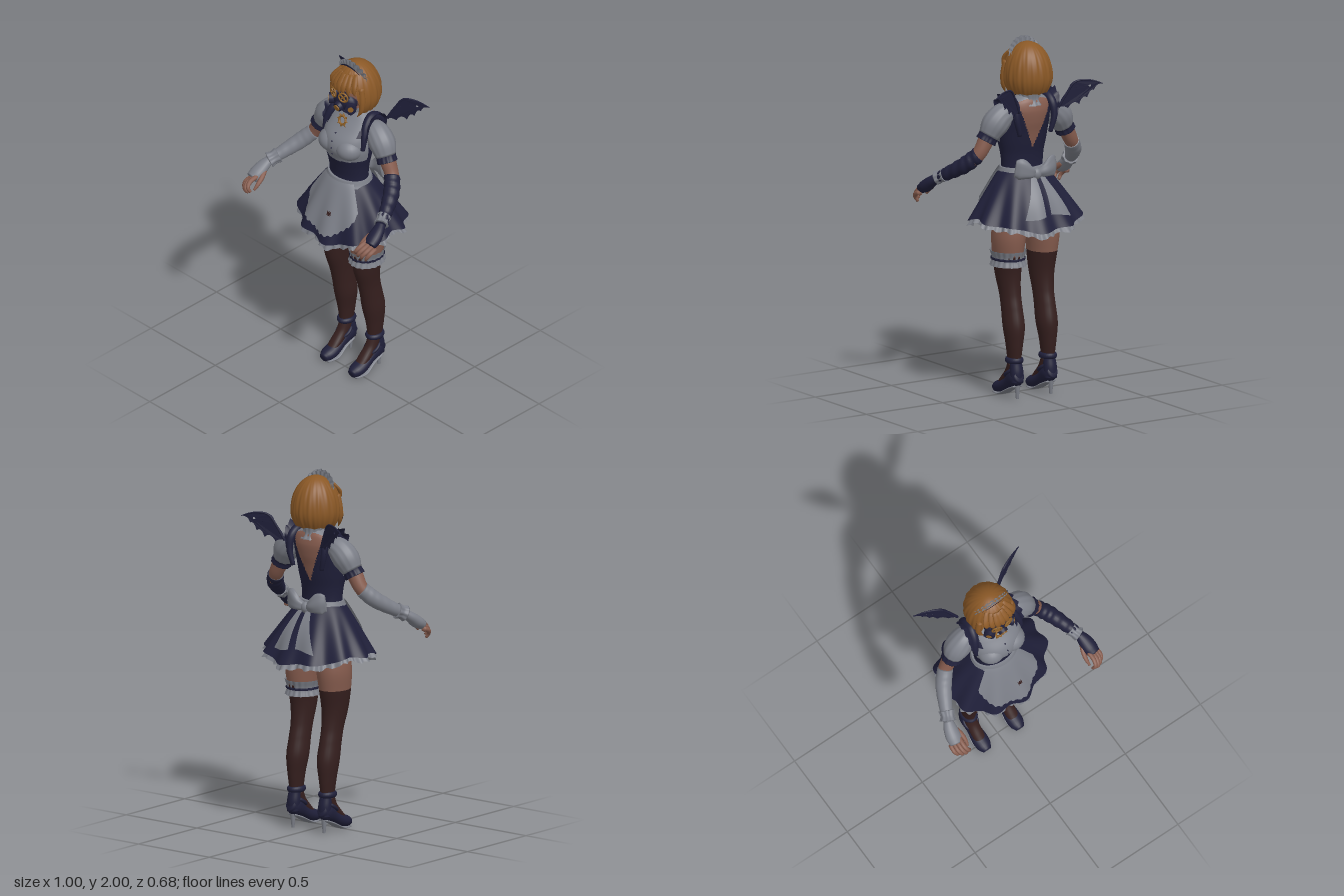
import * as THREE from 'three';
import { mergeVertices } from 'three/addons/utils/BufferGeometryUtils.js';

const { sin, cos, PI, abs, sqrt, max, min } = Math;
const V = (a) => new THREE.Vector3(a[0], a[1], a[2]);

function material(name, color) {
  const m = new THREE.MeshStandardMaterial({ color, side: THREE.DoubleSide });
  m.name = name;
  return m;
}
const navy = material('navy cloth', 0x1f1f39);
const white = material('pale grey cloth', 0x7b7e87);
const skin = material('skin', 0x865c4e);
const stocking = material('dark brown stocking', 0x351f1e);
const hairMat = material('amber hair', 0x8a5826);
const gold = material('gold metal', 0x8f6128);

// surface from a rule f(u, v); pick(point) returns a material slot per cell
function grid(nu, nv, f, pick) {
  const pos = [], index = [];
  for (let j = 0; j <= nv; j++) for (let i = 0; i <= nu; i++) pos.push(...f(i / nu, j / nv));
  let geo = new THREE.BufferGeometry();
  const slots = [[], [], []];
  for (let j = 0; j < nv; j++) for (let i = 0; i < nu; i++) {
    const a = j * (nu + 1) + i, b = a + 1, c = b + nu + 1, d = c - 1;
    const mid = [0, 1, 2].map((k) => (pos[a * 3 + k] + pos[c * 3 + k]) / 2);
    slots[pick ? pick(mid) : 0].push(a, b, c, a, c, d);
  }
  slots.forEach((s, k) => {
    if (pick && s.length) geo.addGroup(index.length, s.length, k);
    for (const n of s) index.push(n);
  });
  geo.setAttribute('position', new THREE.Float32BufferAttribute(pos, 3));
  geo.setIndex(index);
  geo = mergeVertices(geo, 1e-5);
  geo.computeVertexNormals();
  return geo;
}

// tube through [x, y, z, width, depth] points; flat keeps its rings level
function sweep(points, { flat = false, ref = [1, 0, 0], wave = [0, 0], folds = 0, nu = 24, nv = 20, open = false, pick } = {}) {
  const path = new THREE.CatmullRomCurve3(points.map(V));
  const size = new THREE.CatmullRomCurve3(points.map((p) => new THREE.Vector3(p[3], p[4] ?? p[3], 0)), false, 'catmullrom');
  return grid(nu, nv, (u, v) => {
    const t = open ? v : min(1, max(0, (v * nv - 1) / (nv - 2)));
    const p = path.getPoint(t), r = size.getPoint(t);
    const T = flat ? new THREE.Vector3(0, points[1][1] > points[0][1] ? 1 : -1, 0) : path.getTangent(t);
    const N = V(ref).addScaledVector(T, -T.dot(V(ref))).normalize();
    const B = T.clone().cross(N);
    const a = u * 2 * PI;
    let k = 1 + wave[1] * sin(wave[0] * a) + folds * sin(t * 38 + sin(a) * 2);
    if (!open && (v === 0 || v === 1)) k = 0;
    return p.addScaledVector(N, cos(a) * r.x * k).addScaledVector(B, sin(a) * r.y * k).toArray();
  }, pick);
}

// skirt surface: angle from the front, t from waist to hem
function skirtPoint(a, t, off = 0, frill = 0) {
  const w = Math.pow(t, 0.9), k = 1 + 0.05 * t * sin(11 * a) + frill * sin(40 * a);
  const y = 1.27 - t * (0.265 + 0.06 * cos(a) ** 2 + 0.01 * cos(a) + 0.008 * sin(7 * a));
  return [sin(a) * ((0.125 + 0.195 * w) * k + off), y + frill * 0.25 * sin(23 * a),
    -0.035 - 0.025 * t + cos(a) * ((0.1 + 0.165 * w) * k + off)];
}

export function createModel() {
  const model = new THREE.Group();
  const add = (name, geo, mat, pos, rot, scale) => {
    const m = new THREE.Mesh(geo, mat);
    m.name = name;
    if (pos) m.position.set(...pos);
    if (rot) m.rotation.set(...rot);
    if (scale) m.scale.set(...scale);
    model.add(m);
    return m;
  };
  const ball = new THREE.SphereGeometry(1, 24, 16);

  // torso: dark bodice, pale bib, open back
  add('bodice', sweep([[0, 1.2, -0.03, 0.13, 0.1], [0, 1.28, -0.032, 0.123, 0.088], [0, 1.35, -0.03, 0.128, 0.095],
    [0, 1.42, -0.028, 0.142, 0.112], [0, 1.48, -0.025, 0.152, 0.128], [0, 1.54, -0.04, 0.152, 0.128],
    [0, 1.6, -0.072, 0.146, 0.103], [0, 1.65, -0.092, 0.118, 0.073], [0, 1.69, -0.095, 0.05, 0.05]],
  { flat: true, nu: 128, nv: 90, pick: ([x, y, z]) => {
    const bib = y > 1.57 ? 0.11 : 0.17;
    if (z > -0.03 - max(0, y - 1.55) && y > 1.405 + 0.12 * abs(x) && abs(x) < bib) return 1;
    return z < -0.08 && abs(x) < (y - 1.39) * 0.42 ? 2 : 0;
  } }), [navy, white, skin]);
  for (const s of [-1, 1]) add('bust', ball, white, [s * 0.066, 1.486, 0.03], [0, s * 0.2, 0], [0.078, 0.066, 0.078]);
  for (let i = 0; i < 4; i++) add('button', ball, navy, [0, 1.45 + i * 0.042, [0.096, 0.104, 0.1, 0.072][i]], null, [0.004, 0.004, 0.005]);
  add('hips', sweep([[0, 0.93, -0.07, 0.07, 0.08], [0, 1.0, -0.065, 0.165, 0.12], [0, 1.1, -0.05, 0.155, 0.115], [0, 1.22, -0.035, 0.12, 0.09]], { flat: true }), skin);
  add('neck', sweep([[0, 1.62, -0.1, 0.05], [0, 1.76, -0.08, 0.045]], { flat: true }), skin);
  add('collar', sweep([[0, 1.63, -0.095, 0.078, 0.084], [0, 1.66, -0.095, 0.062, 0.068], [0, 1.705, -0.095, 0.066, 0.072]],
    { flat: true, open: true, nu: 96, wave: [14, 0.03] }), white);

  // brooch and neck bow
  add('brooch ring', new THREE.TorusGeometry(0.024, 0.006, 8, 24), gold, [0, 1.635, 0.02], [-0.3, 0, 0]);
  for (let i = 0; i < 8; i++) {
    const a = i * PI / 4;
    add('brooch ray', new THREE.ConeGeometry(0.008, 0.018, 6), gold, [cos(a) * 0.034, 1.635 + sin(a) * 0.034, 0.02 - sin(a) * 0.01], [0, 0, a - PI / 2]);
  }
  for (const s of [-1, 1]) add('neck bow', ball, navy, [s * 0.022, 1.672, -0.018], [0, 0, s * 0.3], [0.022, 0.011, 0.01]);

  // skirt, petticoat, apron
  add('skirt', grid(176, 20, (u, v) => skirtPoint(u * 2 * PI, v)), navy);
  add('petticoat', grid(320, 14, (u, v) => skirtPoint(u * 2 * PI, 0.35 + 0.74 * v, -0.016, 0.022 * v * v)), white);
  add('apron', grid(80, 24, (u, v) => {
    const s = u * 2 - 1;
    return skirtPoint(s * 0.88, v * (0.86 * sqrt(1 - 0.72 * s * s) + 0.015 * sin(s * 45)), 0.014);
  }), white);
  add('apron patch', grid(12, 4, (u, v) => skirtPoint(0.1 + 0.1 * u, 0.49 + (v - 0.5) * 0.06 * (0.4 + abs(cos(u * 2 * PI))), 0.02)), stocking);
  add('waistband', sweep([[0, 1.235, -0.035, 0.15, 0.122], [0, 1.255, -0.035, 0.14, 0.112], [0, 1.278, -0.035, 0.132, 0.103]], { flat: true, nu: 48 }), white);

  // back bow
  add('bow knot', ball, white, [0, 1.25, -0.175], null, [0.028, 0.032, 0.025]);
  for (const s of [-1, 1]) {
    add('bow loop', sweep([[s * 0.01, 1.25, -0.17, 0.02, 0.015], [s * 0.05, 1.265, -0.185, 0.036, 0.022],
      [s * 0.1, 1.285, -0.175, 0.058, 0.02], [s * 0.13, 1.29, -0.16, 0.045, 0.01]], { ref: [0, 1, 0], wave: [5, 0.06] }), white);
    add('bow tail', grid(20, 24, (u, v) => {
      const t = v * (0.74 + 0.08 * u);
      return skirtPoint(PI + s * (0.07 + u * (0.14 + 0.28 * v)), t, 0.018 + 0.02 * sin(v * PI));
    }), white);
  }

  // head and bob haircut
  add('head', ball, skin, [0, 1.815, -0.075], null, [0.098, 0.115, 0.1]);
  add('hair', grid(160, 36, (u, v) => {
    const a = (u * 2 - 1) * PI, side = THREE.MathUtils.smoothstep(abs(a), 0.7, 1.15);
    const hem = 1.845 - 0.15 * side + 0.014 * abs(sin(a * 5)) * (1 - 0.5 * side);
    const y = 1.975 - (1.975 - hem) * (1 - cos(v * PI / 2));
    const q = (1.975 - y) / 0.19, d = max(0, (1.785 - y) / 0.1);
    const r = (q < 1 ? sqrt(1 - (1 - q) ** 2) : 1 - 0.28 * d * d) * (1 + 0.02 * v * sin(a * 17 + 5 * v) + 0.012 * v * sin(a * 31 - 3 * v));
    return [sin(a) * r * 0.135, y, -0.087 + cos(a) * r * 0.141];
  }), hairMat);
  for (let i = -3; i <= 3; i++) {
    const x = i * 0.027, z = 0.05 - x * x * 5;
    add('fringe lock', sweep([[x * 0.6, 1.935, z - 0.045, 0.018, 0.008], [x, 1.885, z - 0.008, 0.02, 0.01],
      [x * 1.05 + 0.004, 1.852, z + 0.002, 0.013, 0.007], [x * 1.1 + 0.01, 1.828 + 0.008 * (i & 1), z, 0.002]], { nu: 10, nv: 12 }), hairMat);
  }
  for (const s of [-1, 1]) add('side lock', sweep([[s * 0.1, 1.87, -0.025, 0.018], [s * 0.113, 1.79, -0.02, 0.018],
    [s * 0.11, 1.73, -0.015, 0.013], [s * 0.092, 1.69, -0.005, 0.002]], { nu: 12 }), hairMat);

  // frilled headdress
  const arc = (r0, r1, z, ripple) => grid(90, 6, (u, v) => {
    const a = (u * 2 - 1) * 1.1, f = 0.25 + 0.75 * cos(a * 1.35);
    const r = r0 + (r1 - r0) * v * f + ripple * 0.4 * v * f * sin(a * 26);
    return [sin(a) * r, 1.847 + cos(a) * r, z - 0.025 * a * a + ripple * v * sin(a * 30)];
  });
  add('headdress frill', arc(0.108, 0.151, -0.036, 0.004), white);
  add('headdress back frill', arc(0.105, 0.145, -0.05, 0.004), white);
  add('headdress band', arc(0.1, 0.122, -0.03, 0), navy);

  // breathing mask and goggles
  add('mask', ball, navy, [0, 1.765, 0.0], null, [0.084, 0.06, 0.05]);
  add('mask snout', new THREE.CylinderGeometry(0.026, 0.034, 0.04, 20), navy, [0, 1.742, 0.042], [PI / 2 + 0.25, 0, 0]);
  add('snout valve', new THREE.CylinderGeometry(0.019, 0.019, 0.012, 20), gold, [0, 1.737, 0.062], [PI / 2 + 0.25, 0, 0]);
  for (const s of [-1, 1]) {
    const filter = new THREE.Group();
    filter.name = 'mask filter';
    [[0.031, 0.05, 0, navy], [0.016, 0.008, 0.024, gold]].forEach(([r, h, y, m]) => {
      const part = new THREE.Mesh(new THREE.CylinderGeometry(r, r, h, 20), m);
      part.position.y = y;
      filter.add(part);
    });
    filter.position.set(s * 0.066, 1.752, 0.022);
    filter.rotation.set(PI / 2, 0, -s * 0.8);
    model.add(filter);
    add('goggle lens', new THREE.CylinderGeometry(0.027, 0.027, 0.02, 20), navy, [s * 0.037, 1.816, 0.04], [PI / 2, 0, -s * 0.3]);
    add('goggle rim', new THREE.TorusGeometry(0.027, 0.005, 8, 24), gold, [s * 0.038, 1.816, 0.051], [0, s * 0.3, 0]);
    for (const k of [-1, 1]) add('goggle cross', new THREE.BoxGeometry(0.046, 0.008, 0.006), gold, [s * 0.038, 1.816, 0.053], [0, s * 0.3, k * PI / 4]);
  }

  for (const s of [-1, 1]) {
    const P = (list) => list.map(([x, ...rest]) => [s * x, ...rest]);
    const glove = s > 0 ? navy : white;

    // shoulder ruffle over the armhole
    const strapPoints = [[0.148, 1.5, 0.01, 0.012], [0.146, 1.57, -0.005, 0.018], [0.128, 1.635, -0.04, 0.024],
      [0.118, 1.665, -0.09, 0.026], [0.12, 1.635, -0.145, 0.024], [0.122, 1.56, -0.165, 0.018], [0.1, 1.47, -0.16, 0.012]];
    const strap = new THREE.CatmullRomCurve3(P(strapPoints).map(V));
    add('shoulder ruffle', grid(90, 6, (u, v) => {
      const p = strap.getPoint(u), w = v * sin(u * PI), q = sin(u * 50) * 0.006 * w;
      return [p.x + s * (0.05 * w + q), p.y + 0.038 * w + q, p.z + q + 0.012 * cos(u * PI) * w];
    }), navy);
    add('shoulder strap', sweep(P(strapPoints), { nu: 16, nv: 40, ref: [0.94, 0.34 * s, 0] }), navy);

    // puff sleeve, arm, glove
    add('puff sleeve', sweep(P([[0.11, 1.605, -0.09, 0.045], [0.16, 1.585, -0.086, 0.066], [0.21, 1.535, -0.08, 0.073], [0.245, 1.475, -0.072, 0.056]]), { nu: 48, wave: [12, 0.02] }), white);
    add('sleeve cuff', sweep(P([[0.24, 1.483, -0.073, 0.056], [0.25, 1.467, -0.07, 0.054], [0.262, 1.445, -0.067, 0.057]]), { nu: 60, wave: [12, 0.03] }), navy);
    const arm = [[0.2, 1.56, -0.08, 0.05], [0.26, 1.455, -0.07, 0.045], [0.305, 1.375, -0.06, 0.039],
      [0.35, 1.32, -0.012, 0.041], [0.4, 1.262, 0.075, 0.034], [0.437, 1.22, 0.155, 0.025]];
    add('arm', sweep(P(arm), { nv: 50 }), skin);
    add('long glove', sweep(P(arm.slice(2).map(([x, y, z, r]) => [x, y, z, r + 0.004])), { nv: 40, folds: s > 0 ? 0.05 : 0.012 }), glove);
    const flare = s > 0 ? 0.9 : 1;
    add('wrist cuff', sweep(P([[0.413, 1.244, 0.105, 0.043 * flare], [0.424, 1.233, 0.13, 0.037 * flare], [0.436, 1.222, 0.152, 0.044 * flare]]), { nu: 60, wave: [8, 0.05] }), white);

    // relaxed hand, fingers curling down and inward
    add('palm', sweep(P([[0.435, 1.222, 0.15, 0.026, 0.024], [0.446, 1.195, 0.188, 0.038, 0.03],
      [0.453, 1.165, 0.228, 0.043, 0.034], [0.458, 1.145, 0.262, 0.036, 0.028]])), glove);
    for (let i = 0; i < 4; i++) {
      const x = 0.431 + i * 0.018, y = 1.163 - i * 0.012, l = [1, 1, 0.85, 0.6][i];
      add('finger', sweep(P([[x, y, 0.245, 0.014], [x + 0.002, y - 0.014, 0.26 + 0.04 * l, 0.013],
        [x - 0.008, y - 0.036, 0.26 + 0.067 * l, 0.011], [x - 0.022, y - 0.06, 0.26 + 0.06 * l, 0.008]]), { nu: 10, nv: 12 }), skin);
    }
    add('thumb', sweep(P([[0.425, 1.185, 0.195, 0.015], [0.408, 1.158, 0.235, 0.014], [0.403, 1.13, 0.272, 0.011], [0.406, 1.105, 0.297, 0.007]]), { nu: 10, nv: 12 }), skin);

    // leg with stocking
    add('leg', sweep(P([[0.095, 1.03, -0.06, 0.09, 0.105], [0.11, 0.9, -0.065, 0.09, 0.107], [0.112, 0.8, -0.06, 0.08, 0.1],
      [0.11, 0.68, -0.058, 0.066, 0.083], [0.108, 0.58, -0.075, 0.056, 0.07], [0.108, 0.5, -0.093, 0.055, 0.069],
      [0.108, 0.4, -0.112, 0.057, 0.07], [0.11, 0.3, -0.12, 0.044, 0.056], [0.11, 0.2, -0.12, 0.033, 0.044], [0.11, 0.11, -0.12, 0.03, 0.04]]),
    { flat: true, nv: 90, pick: ([, y]) => (y > 0.79 ? 0 : 1) }), [skin, stocking]);
    add('stocking foot', sweep(P([[0.11, 0.2, -0.12, 0.034, 0.04], [0.11, 0.14, -0.09, 0.034, 0.036], [0.11, 0.085, -0.03, 0.034, 0.025], [0.11, 0.05, 0.01, 0.03, 0.02]])), stocking);

    // heeled shoe
    add('shoe', sweep(P([[0.11, 0.135, -0.172, 0.028, 0.036], [0.11, 0.118, -0.135, 0.041, 0.052], [0.11, 0.084, -0.075, 0.038, 0.037],
      [0.11, 0.05, -0.012, 0.045, 0.036], [0.11, 0.037, 0.03, 0.041, 0.033], [0.11, 0.029, 0.06, 0.024, 0.023]])), navy);
    add('heel counter', sweep(P([[0.11, 0.09, -0.145, 0.036, 0.034], [0.11, 0.15, -0.143, 0.038, 0.035], [0.11, 0.2, -0.135, 0.034, 0.032]]), { flat: true }), navy);
    add('sole', sweep(P([[0.11, 0.072, -0.155, 0.03, 0.008], [0.11, 0.046, -0.09, 0.033, 0.008], [0.11, 0.012, -0.02, 0.044, 0.008], [0.11, 0.008, 0.045, 0.032, 0.007]])), white);
    add('heel', new THREE.CylinderGeometry(0.018, 0.008, 0.1, 14), white, [s * 0.11, 0.05, -0.15]);
    add('ankle strap', new THREE.TorusGeometry(0.04, 0.014, 8, 28), navy, [s * 0.11, 0.213, -0.12], [PI / 2, 0, 0], [0.9, 1.08, 1.2]);
    add('instep strap', new THREE.TorusGeometry(0.042, 0.01, 8, 28), navy, [s * 0.11, 0.14, -0.1], [PI / 2 + 0.6, 0, 0], [0.9, 1.1, 1]);

    // bat wing, swept backward toward the tip
    const shape = new THREE.Shape();
    shape.moveTo(0.13, 1.61);
    shape.quadraticCurveTo(0.145, 1.675, 0.18, 1.7);
    shape.quadraticCurveTo(0.18, 1.74, 0.21, 1.755);
    shape.quadraticCurveTo(0.29, 1.775, 0.352, 1.735);
    shape.quadraticCurveTo(0.315, 1.738, 0.305, 1.7);
    shape.quadraticCurveTo(0.285, 1.712, 0.27, 1.66);
    shape.quadraticCurveTo(0.245, 1.68, 0.23, 1.625);
    shape.quadraticCurveTo(0.2, 1.655, 0.175, 1.605);
    shape.quadraticCurveTo(0.15, 1.62, 0.13, 1.61);
    shape.holes.push(new THREE.Path().absellipse(0.285, 1.725, 0.008, 0.006, 0, 2 * PI));
    const wing = new THREE.ExtrudeGeometry(shape, { depth: 0.004, bevelEnabled: false, curveSegments: 8 });
    const at = wing.attributes.position, back = (x) => -0.17 - 0.13 * Math.pow(max(0, (x - 0.1) / 0.25), 0.75);
    for (let i = 0; i < at.count; i++) at.setXYZ(i, s * at.getX(i), at.getY(i), at.getZ(i) + back(at.getX(i)));
    wing.computeVertexNormals();
    add('wing', wing, navy);
    add('wing bone', sweep(P([[0.13, 1.61, 0.008], [0.17, 1.69, 0.007], [0.21, 1.75, 0.006], [0.28, 1.758, 0.004], [0.352, 1.735, 0.002]]
      .map(([x, y, r]) => [x, y, back(x), r])), { ref: [0, 0, 1], nu: 10 }), navy);
  }

  // frilled garter on the left thigh
  const garter = (name, y0, y1, y2, r, w, mat) => add(name, sweep([[0.11, y0, -0.06, r + w, r + w + 0.012], [0.11, y1, -0.06, r, r + 0.012],
    [0.11, y2, -0.06, r + w, r + w + 0.012]], { flat: true, open: true, nu: 120, wave: [18, 0.025] }), mat);
  garter('garter frill', 0.735, 0.775, 0.82, 0.084, 0.012, white);
  garter('garter band', 0.768, 0.775, 0.782, 0.09, -0.001, navy);

  return model;
}
